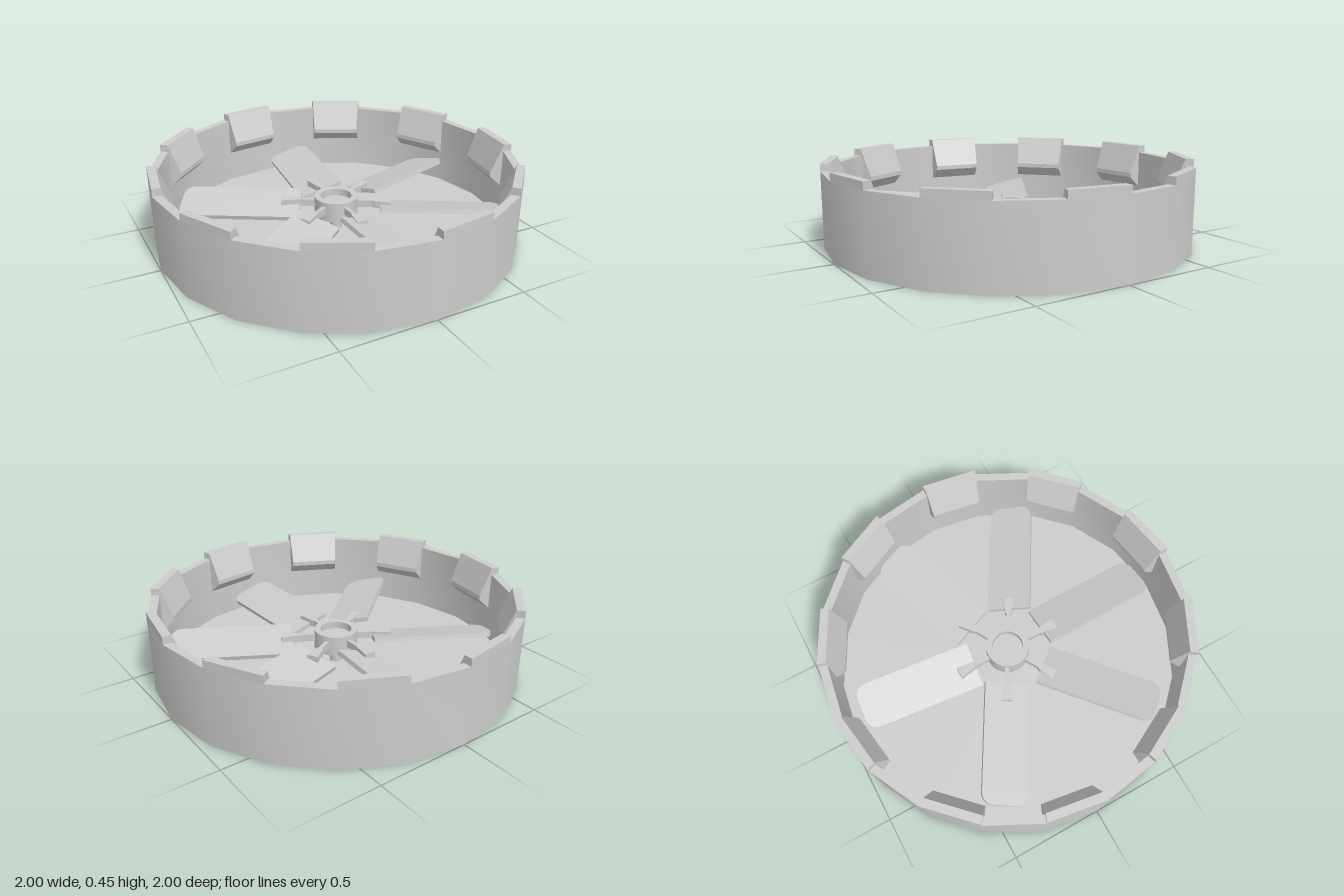
import * as THREE from 'three';
import { mergeGeometries, toCreasedNormals } from 'three/addons/utils/BufferGeometryUtils.js';

const DEG = Math.PI / 180;
const material = new THREE.MeshStandardMaterial({ color: 0xcccccc });
const tabMaterial = new THREE.MeshStandardMaterial({ color: 0xcccccc, side: THREE.DoubleSide });
const points = (list) => list.map(([x, y]) => new THREE.Vector2(x, y));

function part(name, geometry, mat = material) {
  const mesh = new THREE.Mesh(geometry, mat);
  mesh.name = name;
  return mesh;
}

// closed ring sector over one side of the housing, with end caps
function tabGeometry() {
  const profile = points([[1, 0.41], [1, 0.45], [0.955, 0.45], [0.89, 0.285], [0.89, 0.26], [0.955, 0.2]]);
  const skin = new THREE.LatheGeometry([...profile, profile[0]], 1, 90 * DEG, 18 * DEG);
  const cap = () => new THREE.ShapeGeometry(new THREE.Shape(profile));
  const merged = mergeGeometries([skin, cap(), cap().rotateY(18 * DEG)]);
  return toCreasedNormals(merged, 0.1);
}

// flat paddle along +x with a rounded tip
function bladeGeometry(length, width, thickness) {
  const h = width / 2, r = 0.065;
  const s = new THREE.Shape();
  s.moveTo(0, -h);
  s.lineTo(length - r, -h);
  s.absarc(length - r, -h + r, r, -Math.PI / 2, 0, false);
  s.lineTo(length, h - r);
  s.absarc(length - r, h - r, r, 0, Math.PI / 2, false);
  s.lineTo(0, h);
  s.closePath();
  const geo = new THREE.ExtrudeGeometry(s, { depth: thickness, bevelEnabled: false, curveSegments: 6 });
  return toCreasedNormals(geo.translate(0, 0, -thickness / 2).rotateX(-Math.PI / 2), 0.5);
}

// thin spoke that flares into a clip over the blade root
function spokeGeometry() {
  const s = new THREE.Shape(points([
    [0.1, -0.011], [0.2, -0.011], [0.215, -0.018], [0.305, -0.032],
    [0.305, 0.032], [0.215, 0.018], [0.2, 0.011], [0.1, 0.011],
  ]));
  const geo = new THREE.ExtrudeGeometry(s, { depth: 0.04, bevelEnabled: false });
  return geo.rotateX(-Math.PI / 2).translate(0, 0.145, 0);
}

export function createModel() {
  const model = new THREE.Group();
  model.name = 'fanInHousing';

  // twenty-sided open pan
  const pan = new THREE.LatheGeometry(
    points([[0, 0], [1, 0], [1, 0.41], [0.955, 0.41], [0.955, 0.02], [0, 0.02]]), 20);
  model.add(part('housing', toCreasedNormals(pan, 0.5)));

  // snap tabs on every second side
  const tabGeo = tabGeometry();
  for (let i = 0; i < 10; i++) {
    const tab = part('rimTab', tabGeo, tabMaterial);
    tab.rotation.y = (90 + 36 * i) * DEG;
    model.add(tab);
  }

  // hub with a shallow recess, on a slim shaft
  const hub = new THREE.LatheGeometry(
    points([[0, 0.1], [0.12, 0.1], [0.12, 0.21], [0.086, 0.21], [0.086, 0.17], [0, 0.17]]), 24);
  model.add(part('hub', toCreasedNormals(hub, 0.5)));
  const shaft = part('shaft', new THREE.CylinderGeometry(0.035, 0.035, 0.09, 16));
  shaft.position.y = 0.06;
  model.add(shaft);

  // loosely hung blades: root x, root z, heading in degrees
  const bladeGeo = bladeGeometry(0.665, 0.25, 0.025);
  const blades = [
    [0.21, -0.115, 18.5], [0.01, -0.205, 84], [-0.175, -0.1, 150],
    [-0.175, 0.13, 221], [0.03, 0.225, -89], [0.21, 0.125, -30],
  ];
  const spokeGeo = spokeGeometry();
  blades.forEach(([x, z, heading], i) => {
    const blade = part('blade', bladeGeo);
    blade.position.set(x, 0.15, z);
    blade.rotation.set(-15 * DEG, heading * DEG, 0, 'YXZ');
    const spoke = part('spoke', spokeGeo);
    spoke.rotation.y = (30 + 60 * i) * DEG;
    model.add(blade, spoke);
  });

  return model;
}
